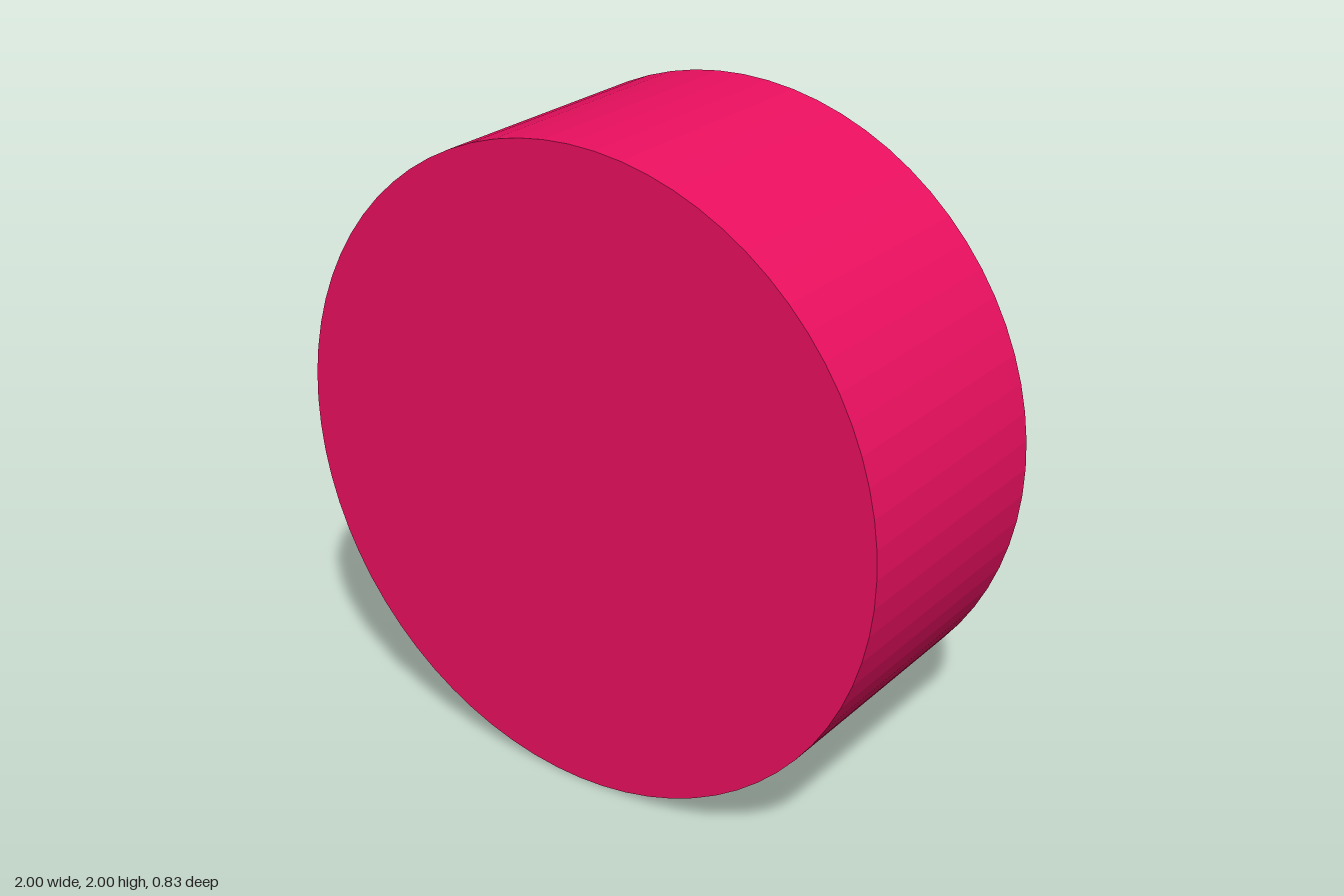
import * as THREE from 'three';

export function createModel() {
  const group = new THREE.Group();
  group.name = 'roundKnob';

  const radius = 1, half = 0.415, holeRadius = 0.233, holeFloor = 0.27;

  // Closed profile: blind hole, back face, rim, front face
  const profile = [
    [0, holeFloor],
    [holeRadius, holeFloor],
    [holeRadius, -half],
    [radius, -half],
    [radius, half],
    [0, half],
  ].map(([r, y]) => new THREE.Vector2(r, y));

  // Turned disc with its axis along z and the hole opening at the back
  const geometry = new THREE.LatheGeometry(profile, 72);
  geometry.rotateX(Math.PI / 2);
  const disc = new THREE.Mesh(
    geometry,
    new THREE.MeshStandardMaterial({ color: 0xec1060, flatShading: true })
  );
  disc.name = 'discWithBlindHole';
  disc.position.y = radius;
  group.add(disc);

  return group;
}
